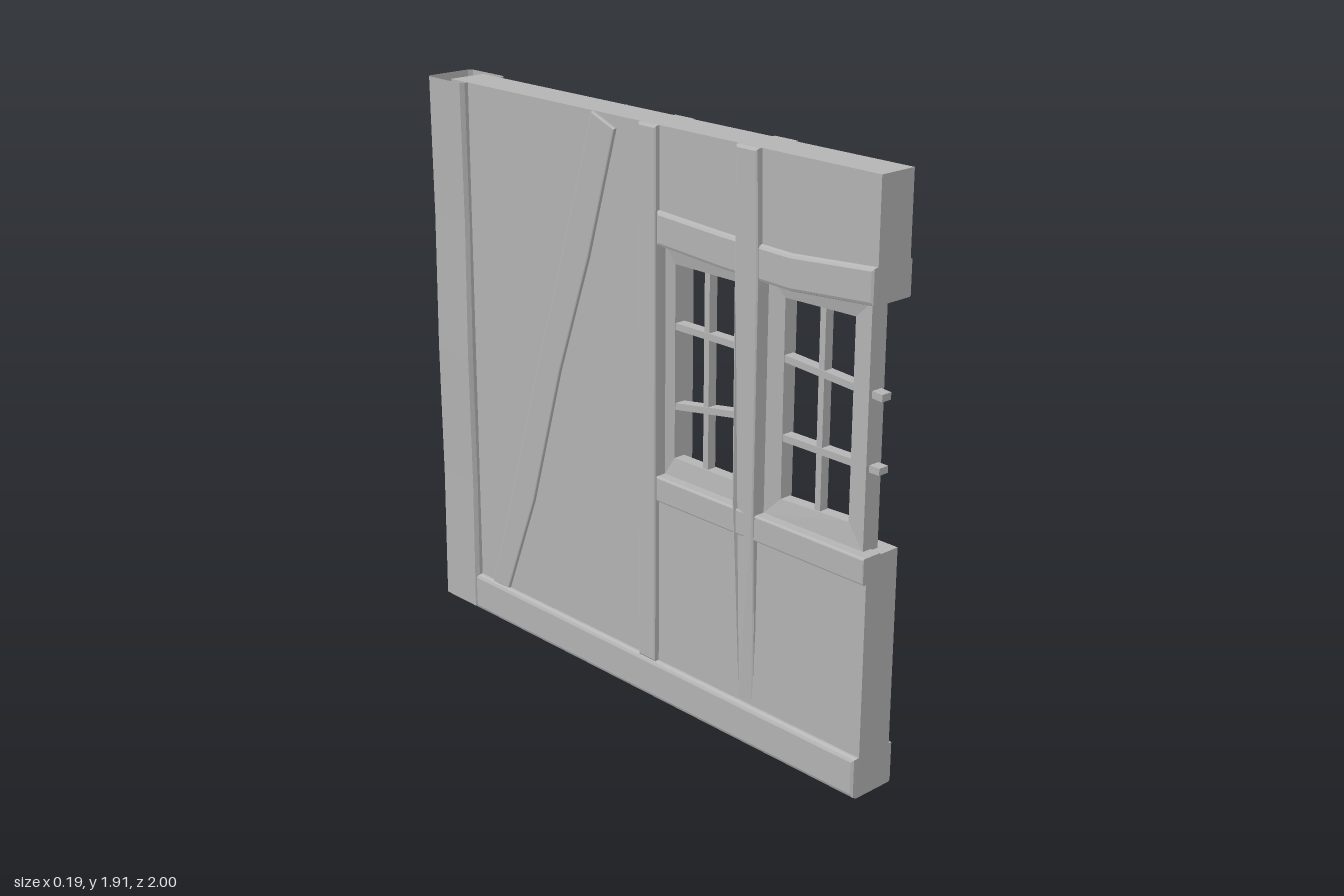
import * as THREE from 'three';

const grey = new THREE.MeshStandardMaterial({ color: 0xb4b4b4, side: THREE.DoubleSide });
grey.name = 'plain grey';

// Extrude a [z, y] outline across x, centred on cx
function prism(points, halfX, bevel = 0, cx = 0) {
  const shape = new THREE.Shape(points.map(([z, y]) => new THREE.Vector2(z, y)));
  const g = new THREE.ExtrudeGeometry(shape, {
    depth: 2 * (halfX - bevel), bevelEnabled: bevel > 0, bevelSize: bevel,
    bevelThickness: bevel, bevelOffset: -bevel, bevelSegments: 2,
  });
  g.translate(0, 0, -(halfX - bevel));
  g.rotateY(-Math.PI / 2);
  g.translate(cx, 0, 0);
  return g;
}

const rect = (z0, z1, y0, y1) => [[z0, y0], [z1, y0], [z1, y1], [z0, y1]];

// Move every vertex by a rule, then rebuild normals
function reshape(g, rule) {
  const p = g.attributes.position;
  const v = new THREE.Vector3();
  for (let i = 0; i < p.count; i++) {
    v.fromBufferAttribute(p, i);
    rule(v);
    p.setXYZ(i, v.x, v.y, v.z);
  }
  g.computeVertexNormals();
  return g;
}

function add(parent, name, geometry) {
  const mesh = new THREE.Mesh(geometry, grey);
  mesh.name = name;
  parent.add(mesh);
  return mesh;
}

// Mitred frame, thicker at its outer edge, with thin glazing bars
function makeWindow(name, outer, inner, bars) {
  const group = new THREE.Group();
  group.name = name;
  const cx = -0.01;
  for (let i = 0; i < 4; i++) {
    const j = (i + 1) % 4;
    const g = prism([outer[i], outer[j], inner[j], inner[i]], 0.032, 0, cx);
    reshape(g, (v) => {
      const isInner = [inner[i], inner[j]].some(
        ([z, y]) => Math.hypot(z - v.z, y - v.y) < 1e-4);
      if (isInner) v.x = cx + (v.x - cx) * 0.65;
    });
    add(group, 'windowFrame', g);
  }
  const t = 0.011;
  for (const [z0, y0, z1, y1] of bars) {
    const upright = z0 === z1;
    const outline = upright
      ? rect(z0 - t, z0 + t, y0, y1)
      : [[z0, y0 - t], [z1, y1 - t], [z1, y1 + t], [z0, y0 + t]];
    add(group, 'glazingBar', prism(outline, upright ? 0.016 : 0.019, 0, cx));
  }
  return group;
}

// Open-ended hollow corner post with chamfered edges and a slight bow
function cornerPost() {
  const x = 0.093, z0 = -1, z1 = -0.81, c = 0.012;
  const shape = new THREE.Shape([
    [-x + c, -z1], [x - c, -z1], [x, -z1 + c], [x, -z0 - c],
    [x - c, -z0], [-x + c, -z0], [-x, -z0 - c], [-x, -z1 + c],
  ].map(([a, b]) => new THREE.Vector2(a, b)));
  const full = new THREE.ExtrudeGeometry(shape, { depth: 1.9, steps: 8, bevelEnabled: false });
  const side = full.groups[1];
  const g = new THREE.BufferGeometry();
  g.setAttribute('position', new THREE.BufferAttribute(
    full.attributes.position.array.slice(side.start * 3, (side.start + side.count) * 3), 3));
  g.rotateX(-Math.PI / 2);
  g.translate(0, 0.01, 0);
  return reshape(g, (v) => {
    v.x *= 1 - 0.05 * Math.sin((v.y / 1.91) * Math.PI * 2) ** 2;
  });
}

export function createModel() {
  const model = new THREE.Group();
  model.name = 'timberWall';

  // Plaster wall with a notch for the two windows
  add(model, 'wallPanel', prism([
    [-0.9, 0.02], [1, 0.02], [1, 0.78], [0.11, 0.78],
    [0.11, 1.55], [1, 1.55], [1, 1.91], [-0.9, 1.91],
  ], 0.067));

  // Timbers
  add(model, 'baseBeam', prism(rect(-0.9, 1, 0, 0.135), 0.088, 0.014));
  add(model, 'middlePost', prism(rect(0.04, 0.122, 0.13, 1.91), 0.083, 0.008));
  add(model, 'cornerPost', cornerPost());
  add(model, 'headerBeam', prism([
    [0.12, 1.54], [0.4, 1.523], [0.68, 1.515], [1, 1.54],
    [1, 1.652], [0.68, 1.627], [0.4, 1.635], [0.12, 1.65],
  ], 0.082, 0.012));
  add(model, 'windowSill', prism(rect(0.12, 1, 0.7, 0.785), 0.038, 0.006, -0.042));

  // Window post, sinking into the wall towards its foot
  const windowPost = prism([
    [0.485, 0.14], [0.555, 0.14], [0.56, 0.4], [0.56, 0.8], [0.562, 1.5],
    [0.55, 1.91], [0.46, 1.91], [0.462, 1.5], [0.466, 0.8], [0.475, 0.4],
  ], 0.086, 0.008);
  add(model, 'windowPost', reshape(windowPost, (v) => {
    v.x *= 1 - 0.22 * THREE.MathUtils.clamp((0.8 - v.y) / 0.6, 0, 1);
  }));

  // Crooked diagonal brace
  add(model, 'diagonalBrace', prism([
    [-0.737, 0.13], [-0.65, 0.13], [-0.5, 0.51], [-0.35, 1.02], [-0.2, 1.44],
    [-0.072, 1.87], [-0.18, 1.91], [-0.325, 1.44], [-0.475, 0.98], [-0.61, 0.53],
  ], 0.077, 0.005));

  // Windows
  model.add(makeWindow('innerWindow',
    rect(0.12, 0.47, 0.78, 1.54),
    [[0.155, 0.845], [0.43, 0.845], [0.43, 1.48], [0.155, 1.48]],
    [[0.29, 0.83, 0.29, 1.5], [0.14, 1.28, 0.44, 1.28], [0.14, 1.015, 0.44, 1.063]]));
  model.add(makeWindow('outerWindow',
    rect(0.555, 0.962, 0.78, 1.54),
    [[0.62, 0.845], [0.893, 0.855], [0.893, 1.48], [0.62, 1.475]],
    [[0.765, 0.83, 0.765, 1.5], [0.6, 1.29, 1, 1.262], [0.6, 1.04, 1, 1.04]]));

  return model;
}
